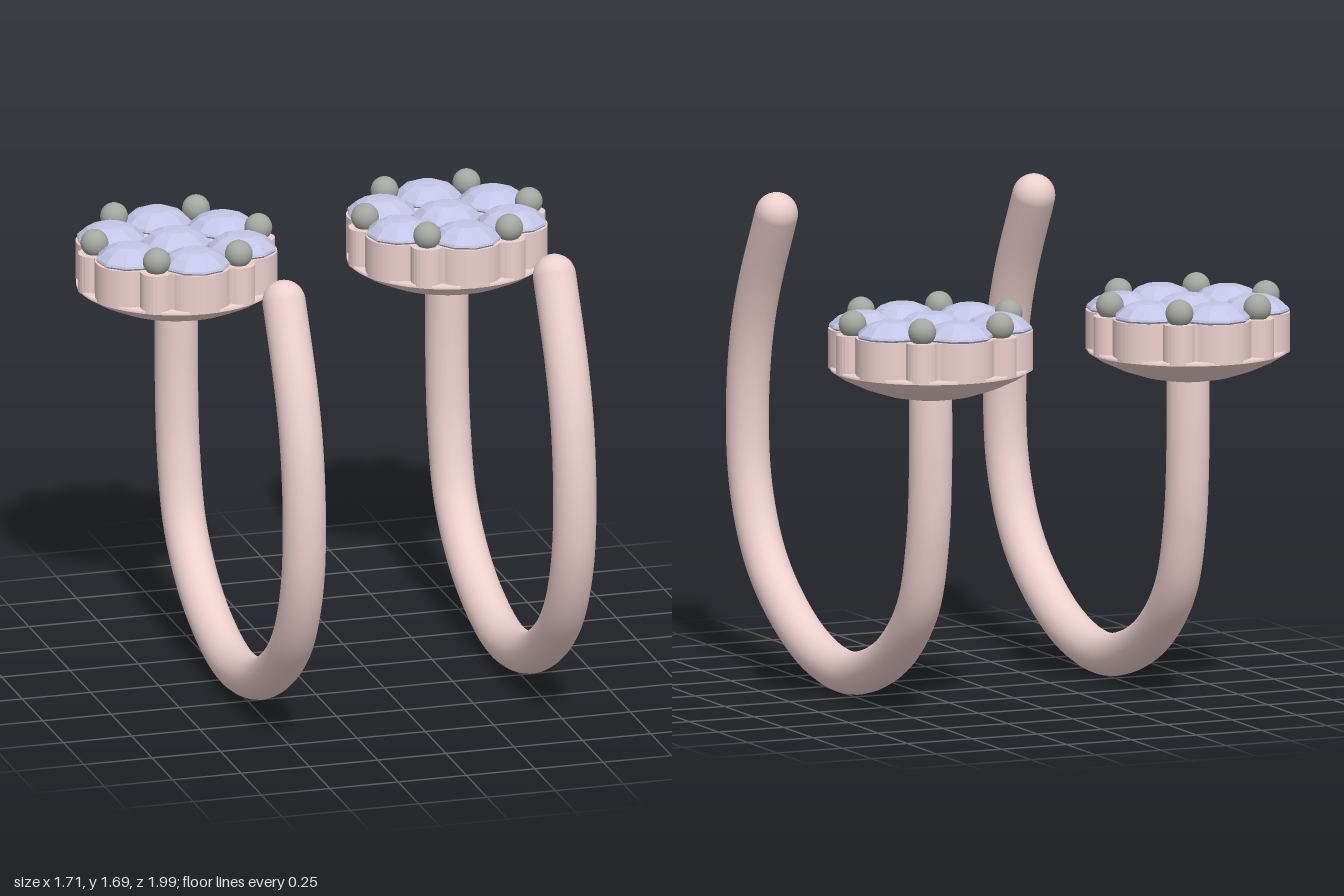
import * as THREE from 'three';

const HEAD_Z = -0.635;
const STONE_D = 0.236, STONE_R = 0.124; // petal stones
const PRONG_D = 0.3, PRONG_R = 0.058;   // prongs between the stones

const metal = new THREE.MeshStandardMaterial({ color: 0xecd0cc });
const beadMetal = new THREE.MeshStandardMaterial({ color: 0xa3a79f });
const crystal = new THREE.MeshStandardMaterial({ color: 0xc3c5e6, flatShading: true });

function add(parent, name, geometry, material, x = 0, y = 0, z = 0) {
  const mesh = new THREE.Mesh(geometry, material);
  mesh.name = name;
  mesh.position.set(x, y, z);
  parent.add(mesh);
  return mesh;
}

const lathe = (pts, sides) =>
  new THREE.LatheGeometry(pts.map(([r, y]) => new THREE.Vector2(r, y)), sides);

// Outline of six stone cups and six prongs joined into one flower
function flowerShape() {
  const reach = (angle, offset, d, r) => {
    const step = Math.PI / 3;
    const a = angle - offset - Math.round((angle - offset) / step) * step;
    const h = r * r - (d * Math.sin(a)) ** 2;
    return h > 0 ? d * Math.cos(a) + Math.sqrt(h) : 0;
  };
  const pts = [];
  const n = 180;
  for (let i = 0; i < n; i++) {
    const a = (i / n) * Math.PI * 2;
    const r = Math.max(0.24, reach(a, Math.PI / 6, STONE_D, STONE_R), reach(a, 0, PRONG_D, PRONG_R));
    pts.push(new THREE.Vector2(r * Math.cos(a), r * Math.sin(a)));
  }
  return new THREE.Shape(pts);
}

// Curved wire from the free tip, round the bottom and up into the head: [z, y]
function createHook() {
  const hook = new THREE.Group();
  hook.name = 'hook';
  const path = [
    [0.675, 1.655], [0.825, 1.37], [0.895, 1.16], [0.923, 0.9], [0.897, 0.67],
    [0.8, 0.46], [0.65, 0.31], [0.38, 0.165], [0.1, 0.115], [-0.13, 0.155],
    [-0.36, 0.265], [-0.535, 0.445], [-0.61, 0.68], [-0.635, 0.95], [-0.635, 1.25],
  ].map(([z, y]) => new THREE.Vector3(0, y, z));
  const curve = new THREE.CatmullRomCurve3(path, false, 'centripetal');
  add(hook, 'wire', new THREE.TubeGeometry(curve, 100, 0.076, 24), metal);
  add(hook, 'wireTip', new THREE.SphereGeometry(0.076, 24, 16), metal, 0, path[0].y, path[0].z);
  return hook;
}

// Flower cluster: domed base, scalloped setting, seven stones, six beads
function createHead() {
  const head = new THREE.Group();
  head.name = 'flowerHead';
  head.position.z = HEAD_Z;

  add(head, 'domedBase', lathe([
    [0, 1.192], [0.08, 1.197], [0.16, 1.212], [0.24, 1.238], [0.31, 1.27], [0.352, 1.297],
  ], 48), metal);
  add(head, 'baseRim', lathe([[0.352, 1.297], [0.352, 1.308], [0.23, 1.315]], 48), metal);

  const setting = new THREE.ExtrudeGeometry(flowerShape(), { depth: 0.14, bevelEnabled: false });
  setting.rotateX(-Math.PI / 2);
  add(head, 'scallopedSetting', setting, metal, 0, 1.3, 0);

  // Faceted crown with a small flat table
  const stone = lathe([
    [0.112, 1.435], [0.123, 1.447], [0.12, 1.455], [0.088, 1.483], [0.05, 1.498], [0, 1.5],
  ], 10);
  const bead = new THREE.SphereGeometry(0.049, 24, 16);
  add(head, 'centreStone', stone, crystal);
  for (let i = 0; i < 6; i++) {
    const a = (i * Math.PI) / 3, b = a + Math.PI / 6;
    const petal = add(head, 'petalStone', stone, crystal,
      STONE_D * Math.sin(a), 0, STONE_D * Math.cos(a));
    petal.rotation.y = a;
    add(head, 'prongBead', bead, beadMetal, PRONG_D * Math.sin(b), 1.477, PRONG_D * Math.cos(b));
  }
  return head;
}

export function createModel() {
  const model = new THREE.Group();
  model.name = 'earrings';
  for (const [name, x] of [['leftEarring', 0.495], ['rightEarring', -0.495]]) {
    const earring = new THREE.Group();
    earring.name = name;
    earring.position.x = x;
    earring.add(createHook(), createHead());
    model.add(earring);
  }
  return model;
}
